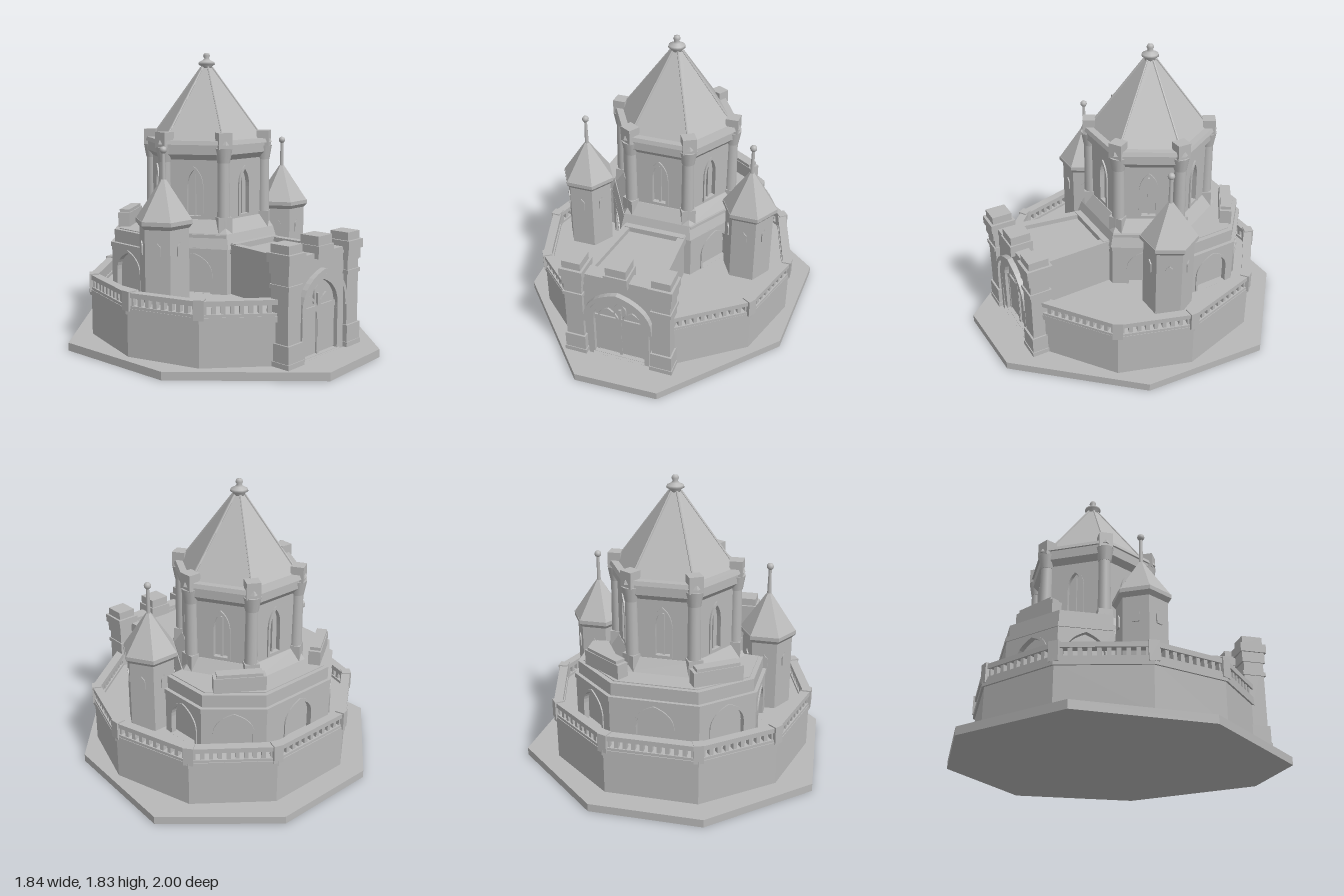
import * as THREE from 'three';

const stone = new THREE.MeshStandardMaterial({ color: 0xb8b8b8 });
stone.name = 'grey stone';

// Faceted mesh: split the vertices so that every face is flat
function add(parent, name, geo, x = 0, y = 0, z = 0) {
  const g = geo.index ? geo.toNonIndexed() : geo;
  g.computeVertexNormals();
  const m = new THREE.Mesh(g, stone);
  m.name = name;
  m.position.set(x, y, z);
  parent.add(m);
  return m;
}
function smooth(parent, name, geo, x, y, z) {
  const m = new THREE.Mesh(geo, stone);
  m.name = name;
  m.position.set(x, y, z);
  parent.add(m);
}
function group(parent, name, x = 0, y = 0, z = 0) {
  const g = new THREE.Group();
  g.name = name;
  g.position.set(x, y, z);
  parent.add(g);
  return g;
}
// Box given by its centre in x and z and by its bottom and top
function box(parent, name, w, d, y0, y1, x = 0, z = 0) {
  return add(parent, name, new THREE.BoxGeometry(w, y1 - y0, d), x, (y0 + y1) / 2, z);
}
// Upright prism over a plan outline of [x, z] points
function prism(parent, name, pts, y0, y1) {
  const s = new THREE.Shape(pts.map(([x, z]) => new THREE.Vector2(x, -z)));
  const g = new THREE.ExtrudeGeometry(s, { depth: y1 - y0, bevelEnabled: false }).rotateX(-Math.PI / 2);
  return add(parent, name, g, 0, y0, 0);
}
// Six-sided frustum with corners on the x axis
function hex(parent, name, r0, r1, y0, y1) {
  return add(parent, name, new THREE.CylinderGeometry(r1, r0, y1 - y0, 6, 1, false, Math.PI / 6), 0, (y0 + y1) / 2, 0);
}
// Pointed arch outline standing at (cx, y0)
function arch(path, cx, y0, w, spring, top) {
  path.moveTo(cx - w, y0);
  path.lineTo(cx - w, spring);
  path.bezierCurveTo(cx - w, spring + (top - spring) * 0.6, cx - w * 0.45, top - 0.02, cx, top);
  path.bezierCurveTo(cx + w * 0.45, top - 0.02, cx + w, spring + (top - spring) * 0.6, cx + w, spring);
  path.lineTo(cx + w, y0);
  path.closePath();
  return path;
}
const extrude = (s, depth) => new THREE.ExtrudeGeometry(s, { depth, bevelEnabled: false, curveSegments: 8 });
// Arched moulding between an outer and an inner arch
function moulding(parent, name, y0, w, spring, top, t, depth, z, cx = 0) {
  const s = arch(new THREE.Shape(), cx, y0, w + t, spring, top + t * 1.2);
  s.holes.push(arch(new THREE.Path(), cx, y0 + 0.0005, w, spring, top));
  return add(parent, name, extrude(s, depth), 0, 0, z);
}
// Wall panel with an arched opening
function panel(parent, name, x0, x1, y0, y1, o, depth, z) {
  const s = new THREE.Shape();
  s.moveTo(x0, y0); s.lineTo(x1, y0); s.lineTo(x1, y1); s.lineTo(x0, y1); s.closePath();
  s.holes.push(arch(new THREE.Path(), o.cx || 0, Math.max(o.y0, y0 + 0.002), o.w, o.spring, o.top));
  return add(parent, name, extrude(s, depth), 0, 0, z);
}
// Group in the middle of a plan edge with +z facing away from the centre
function onEdge(parent, name, a, b, cz = -0.2) {
  const mx = (a[0] + b[0]) / 2, mz = (a[1] + b[1]) / 2;
  let nx = b[1] - a[1], nz = a[0] - b[0];
  if (nx * mx + nz * (mz - cz) < 0) { nx = -nx; nz = -nz; }
  const g = group(parent, name, mx, 0, mz);
  g.rotation.y = Math.atan2(nx, nz);
  return [g, Math.hypot(nx, nz)];
}
const shrink = (pts, k, cz) => pts.map(([x, z]) => [x * k, cz + (z - cz) * k]);

function terrace(root) {
  prism(root, 'basePlate', [[-0.35, -1], [0.34, -1], [0.92, -0.5], [0.88, 0.3], [0.28, 0.98],
    [-0.25, 1], [-0.88, 0.3], [-0.92, -0.5]], 0, 0.05);
  const rim = [[0.27, 0.74], [0.7, 0.42], [0.84, -0.03], [0.69, -0.54], [0.28, -0.86],
    [-0.29, -0.86], [-0.7, -0.54], [-0.84, -0.03], [-0.7, 0.42], [-0.34, 0.74]];
  prism(root, 'terraceWall', rim, 0.05, 0.33);
  prism(root, 'terraceLedge', shrink(rim, 1.015, 0), 0.31, 0.345);
  const rail = shrink(rim, 0.98, 0);
  for (let i = 0; i < rail.length - 1; i++) {
    const [g, len] = onEdge(root, 'balustrade', rail[i], rail[i + 1]);
    box(g, 'railBase', len, 0.05, 0.34, 0.362);
    box(g, 'handRail', len + 0.02, 0.055, 0.41, 0.44);
    const n = Math.round(len / 0.05);
    for (let k = 0; k < n; k++) box(g, 'baluster', 0.024, 0.034, 0.355, 0.415, ((k + 0.5) / n - 0.5) * len);
  }
  rail.slice(1, -1).forEach(([x, z]) => {
    const p = box(root, 'cornerPost', 0.06, 0.06, 0.33, 0.448, x, z);
    p.rotation.y = Math.atan2(x, z);
  });
}

function middleTier(root) {
  const half = [[0.235, 0.2], [0.45, -0.17], [0.57, -0.18], [0.56, -0.5], [0.27, -0.75]];
  const plan = [...half, ...half.map(([x, z]) => [-x, z]).reverse()];
  prism(root, 'tierCore', shrink(plan, 0.92, -0.25), 0.34, 0.72);
  prism(root, 'tierCornice', shrink(plan, 1.01, -0.25), 0.605, 0.635);
  prism(root, 'tierUpper', shrink(plan, 0.97, -0.25), 0.63, 0.715);
  plan.forEach((a, i) => {
    const b = plan[(i + 1) % plan.length];
    const [g, len] = onEdge(root, 'arcadeWall', a, b);
    if (len < 0.2) { box(g, 'plainWall', len, 0.03, 0.34, 0.61, 0, -0.015); return; }
    const o = { y0: 0.34, w: 0.11, spring: 0.46, top: 0.585 };
    panel(g, 'archedWall', -len / 2, len / 2, 0.34, 0.61, o, 0.035, -0.035);
    moulding(g, 'archMoulding', 0.35, o.w, o.spring, o.top, 0.014, 0.012, -0.004);
  });
  // Short parapets on the rear diagonals
  for (const s of [1, -1]) {
    const [g] = onEdge(root, 'rearParapet', [s * 0.47, -0.49], [s * 0.2, -0.67]);
    box(g, 'parapetBlock', 0.31, 0.075, 0.71, 0.81);
    box(g, 'parapetCap', 0.27, 0.065, 0.81, 0.83);
  }
}

function keep(root) {
  const k = group(root, 'keep', 0, 0, -0.195);
  hex(k, 'keepFoot', 0.47, 0.44, 0.63, 0.72);
  hex(k, 'keepPlinth', 0.44, 0.385, 0.72, 0.8);
  hex(k, 'keepCore', 0.345, 0.345, 0.75, 1.25);
  hex(k, 'corniceFlare', 0.375, 0.415, 1.165, 1.205);
  hex(k, 'cornice', 0.415, 0.415, 1.205, 1.265);
  hex(k, 'corniceTop', 0.43, 0.42, 1.265, 1.29);
  const corner = (i, r) => [r * Math.cos(i * Math.PI / 3), r * Math.sin(i * Math.PI / 3)];
  for (let i = 0; i < 6; i++) {
    const [g, len] = onEdge(k, 'keepWall', corner(i, 0.38), corner(i + 1, 0.38), 0);
    const o = { y0: 0.82, w: 0.045, spring: 0.99, top: 1.11 };
    panel(g, 'windowWall', -len / 2, len / 2, 0.77, 1.18, o, 0.035, -0.035);
    moulding(g, 'windowMoulding', 0.81, o.w, o.spring, o.top, 0.016, 0.014, -0.004);
    box(g, 'windowMullion', 0.012, 0.02, 0.82, 1.08, 0, -0.025);
    const [x, z] = corner(i, 0.375);
    const p = group(k, 'cornerPier', x, 0, z);
    p.rotation.y = Math.PI / 2 - i * Math.PI / 3;
    smooth(p, 'pierShaft', new THREE.CylinderGeometry(0.036, 0.042, 0.5, 12), 0, 1, 0);
    box(p, 'pierFoot', 0.09, 0.08, 0.72, 0.82);
    smooth(p, 'pierCapital', new THREE.CylinderGeometry(0.056, 0.04, 0.09, 12), 0, 1.2, 0);
    box(p, 'merlon', 0.085, 0.08, 1.24, 1.34, 0, 0.002);
  }
  // Roof with raised hips and a finial
  hex(k, 'keepRoof', 0.375, 0.035, 1.285, 1.74);
  for (let i = 0; i < 6; i++) {
    const [x, z] = corner(i, 0.375), [u, v] = corner(i, 0.035);
    const c = new THREE.LineCurve3(new THREE.Vector3(x, 1.285, z), new THREE.Vector3(u, 1.74, v));
    add(k, 'roofHip', new THREE.TubeGeometry(c, 1, 0.007, 6));
  }
  const prof = [[0, 1.71], [0.036, 1.72], [0.034, 1.745], [0.054, 1.758], [0.05, 1.772], [0.024, 1.785],
    [0.015, 1.797], [0.023, 1.812], [0.017, 1.828], [0, 1.832]];
  smooth(k, 'roofFinial', new THREE.LatheGeometry(prof.map(([r, y]) => new THREE.Vector2(r, y)), 16), 0, 0, 0);
}

function turret(root, side) {
  const t = group(root, side > 0 ? 'leftTurret' : 'rightTurret', side * 0.555, 0, -0.015);
  hex(t, 'turretBody', 0.155, 0.155, 0.33, 0.8);
  hex(t, 'turretFlare', 0.155, 0.178, 0.79, 0.815);
  hex(t, 'turretEaves', 0.178, 0.178, 0.815, 0.84);
  hex(t, 'turretRoof', 0.175, 0.016, 0.84, 1.075);
  smooth(t, 'turretPole', new THREE.CylinderGeometry(0.009, 0.014, 0.2, 8), 0, 1.15, 0);
  smooth(t, 'turretBall', new THREE.SphereGeometry(0.022, 12, 8), 0, 1.25, 0);
  for (let i = 0; i < 6; i++) {
    const g = group(t, 'turretWindow');
    g.rotation.y = i * Math.PI / 3;
    moulding(g, 'slitFrame', 0.63, 0.014, 0.68, 0.705, 0.008, 0.01, 0.132);
  }
}

function gatehouse(root) {
  // Covered passage with side parapets
  prism(root, 'passage', [[-0.27, 0.7], [0.21, 0.7], [0.19, 0.15], [-0.19, 0.15]], 0.33, 0.63);
  prism(root, 'passageParapet', [[-0.28, 0.7], [-0.225, 0.7], [-0.16, 0.2], [-0.205, 0.2]], 0.6, 0.66);
  prism(root, 'passageParapet', [[0.22, 0.7], [0.165, 0.7], [0.16, 0.2], [0.205, 0.2]], 0.6, 0.66);
  box(root, 'passageBackRail', 0.4, 0.04, 0.6, 0.665, 0, 0.225);
  const g = group(root, 'gatehouse', -0.037, 0, 0.73);
  const o = { y0: 0.05, w: 0.17, spring: 0.33, top: 0.51 };
  panel(g, 'gateWall', -0.24, 0.24, 0.05, 0.65, o, 0.09, -0.05);
  moulding(g, 'gateArch', 0.05, 0.17, 0.33, 0.51, 0.03, 0.03, 0.03);
  moulding(g, 'gateHood', 0.32, 0.2, 0.35, 0.55, 0.022, 0.045, 0.03);
  box(g, 'gateParapet', 0.46, 0.09, 0.63, 0.67, 0, 0);
  box(g, 'gateMerlon', 0.15, 0.15, 0.64, 0.715, 0, 0);
  box(g, 'gateMerlonCap', 0.13, 0.13, 0.715, 0.77, 0, 0);
  // Door with tracery
  add(g, 'door', extrude(arch(new THREE.Shape(), 0, 0.05, 0.172, 0.33, 0.512), 0.04), 0, 0, -0.03);
  for (const s of [1, -1]) moulding(g, 'doorTracery', 0.06, 0.067, 0.29, 0.4, 0.012, 0.014, 0.008, s * 0.08);
  moulding(g, 'doorTracery', 0.36, 0.03, 0.41, 0.465, 0.01, 0.014, 0.008);
  box(g, 'doorMullion', 0.016, 0.02, 0.05, 0.42, 0, 0.014);
  // Flanking piers
  for (const s of [1, -1]) {
    const p = group(g, 'gatePier', s * 0.283, 0, 0.005);
    box(p, 'pierFoot', 0.145, 0.16, 0.04, 0.08);
    box(p, 'pierBase', 0.135, 0.15, 0.08, 0.185);
    box(p, 'pierShaft', 0.115, 0.125, 0.18, 0.6);
    box(p, 'pierBand', 0.13, 0.145, 0.5, 0.525);
    box(p, 'pierNeck', 0.13, 0.145, 0.585, 0.65);
    box(p, 'pierCap', 0.15, 0.165, 0.65, 0.705);
    box(p, 'pierTop', 0.12, 0.13, 0.705, 0.755);
  }
}

export function createModel() {
  const root = new THREE.Group();
  root.name = 'castle';
  terrace(root);
  middleTier(root);
  keep(root);
  turret(root, 1);
  turret(root, -1);
  gatehouse(root);
  return root;
}
